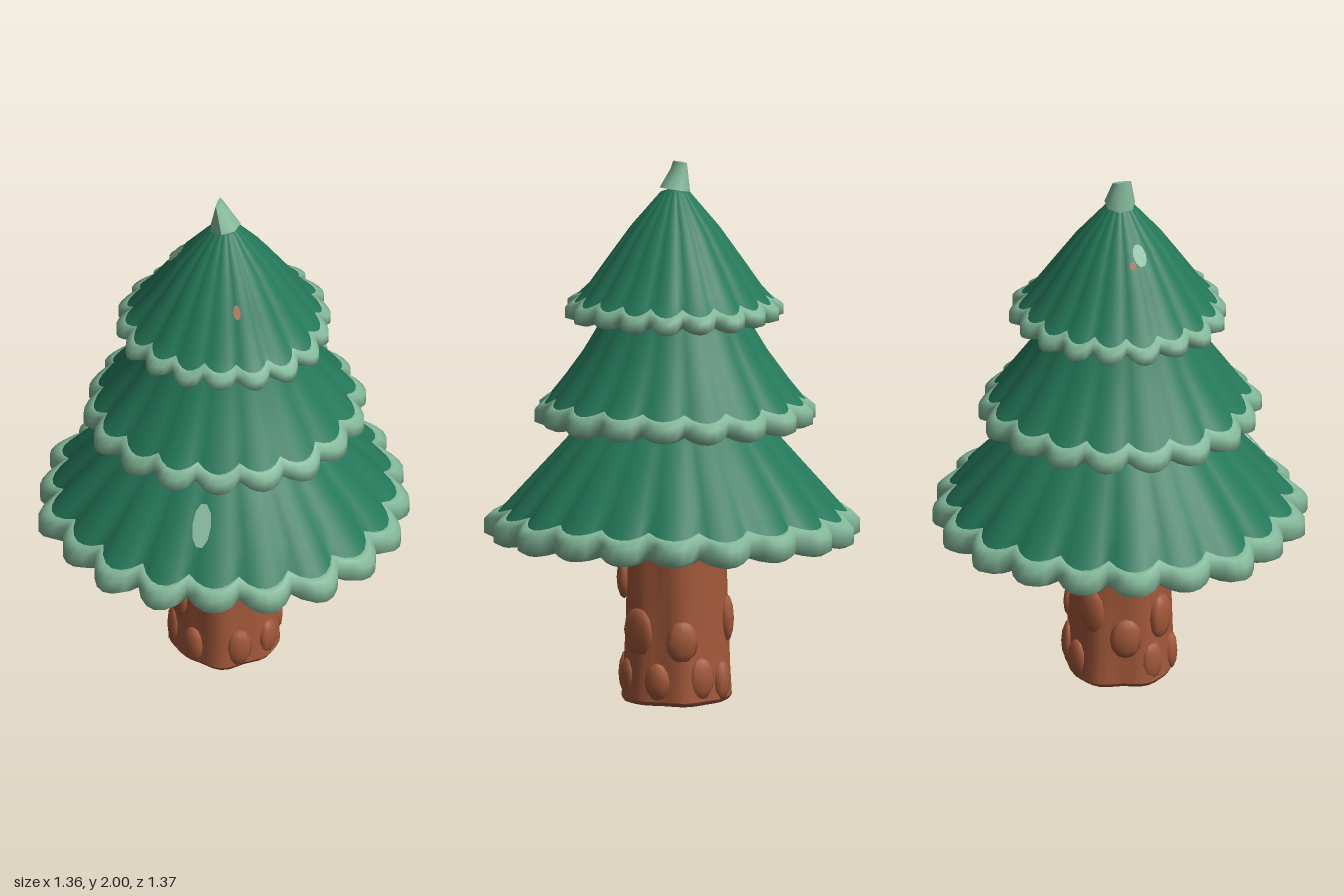
import * as THREE from 'three';

const TAU = Math.PI * 2;

// Skin between rings; each ring is a function angle -> [radius, height], listed from top to bottom
function loft(rings, segs) {
  const pos = [], index = [];
  rings.forEach((ring, j) => {
    for (let i = 0; i < segs; i++) {
      const a = (i / segs) * TAU, [r, y] = ring(a);
      pos.push(r * Math.sin(a), y, r * Math.cos(a));
      if (j === 0) continue;
      const n = (i + 1) % segs, t = (j - 1) * segs, b = j * segs;
      index.push(t + i, b + i, t + n, t + n, b + i, b + n);
    }
  });
  const g = new THREE.BufferGeometry();
  g.setAttribute('position', new THREE.Float32BufferAttribute(pos, 3));
  g.setIndex(index);
  g.computeVertexNormals();
  return g;
}

function seeded(seed) {
  return () => (seed = (seed * 16807) % 2147483647) / 2147483647;
}

export function createModel() {
  const green = new THREE.MeshStandardMaterial({ color: 0x24785a });
  green.name = 'pine green';
  const mint = new THREE.MeshStandardMaterial({ color: 0x83b79a });
  mint.name = 'pale mint';
  const brown = new THREE.MeshStandardMaterial({ color: 0xa2583a });
  brown.name = 'bark brown';

  const tree = new THREE.Group();
  tree.name = 'pineTree';
  const add = (name, geometry, material, parent = tree) => {
    const m = new THREE.Mesh(geometry, material);
    m.name = name;
    parent.add(m);
    return m;
  };

  // Foliage tier: pleated skirt, scalloped pale rim and underside
  function tier(name, t) {
    const group = new THREE.Group();
    group.name = name;
    tree.add(group);
    const rand = seeded(t.seed);
    const tips = Array.from({ length: t.tips }, () => [rand() - 0.5, rand() - 0.5]);
    // 0 in the notches, 1 at the scallop tips
    const wave = (a) => {
      const u = ((a / TAU) * t.tips) % 1;
      return Math.pow(Math.sin(u * Math.PI), 0.85);
    };
    const ring = (r, y, amp, drop) => (a) => {
      const w = wave(a), k = tips[Math.floor((a / TAU) * t.tips) % t.tips];
      const uneven = 1 + 0.012 * Math.sin(3 * a + t.seed);
      return [r * uneven + amp * (w - 1 + 0.35 * k[0] * w), y + drop * (0.5 - w + 0.5 * k[1] * w)];
    };
    const d = t.depth, R = t.radius, y0 = t.bottom, h = t.rim;
    const edge = ring(R - 0.6 * d - 0.01, y0 + h, d * 0.8, 0.025);
    const inner = ring(R - 0.035, y0, d, 0.02);
    const body = t.profile.map(([r, y], i) =>
      ring(r, y, d * 0.35 * (i / t.profile.length), 0));
    const segs = t.tips * 6;
    add('skirt', loft([...body, edge], segs), green, group);
    add('rim', loft([
      edge,
      ring(R - 0.025, y0 + h * 0.97, d, 0.025),
      ring(R, y0 + h * 0.72, d, 0.025),
      ring(R, y0 + h * 0.2, d, 0.025),
      inner,
    ], segs), mint, group);
    add('underside', loft([
      inner,
      ring(R * 0.72, y0 + 0.025, d * 0.8, 0.01),
      ring(R * 0.45, y0 + 0.04, 0.01, 0),
      ring(0.1, y0 + 0.045, 0, 0),
    ], segs), green, group);
  }

  tier('lowerTier', {
    seed: 11, tips: 20, radius: 0.69, depth: 0.065, bottom: 0.61, rim: 0.1,
    profile: [[0.3, 1.06], [0.36, 1.01], [0.45, 0.91], [0.55, 0.8]],
  });
  tier('middleTier', {
    seed: 23, tips: 18, radius: 0.52, depth: 0.045, bottom: 1.04, rim: 0.085,
    profile: [[0.24, 1.47], [0.28, 1.4], [0.34, 1.3], [0.42, 1.19]],
  });
  tier('upperTier', {
    seed: 37, tips: 18, radius: 0.4, depth: 0.04, bottom: 1.43, rim: 0.07,
    profile: [[0, 1.91], [0.055, 1.89], [0.165, 1.76], [0.25, 1.64], [0.32, 1.54]],
  });

  // Treetop: small wedge leaning to one side
  const tip = new THREE.CylinderGeometry(0.036, 0.058, 0.1, 7);
  const p = tip.attributes.position;
  for (let i = 0; i < p.count; i++) {
    if (p.getY(i) > 0) p.setX(i, p.getX(i) * 0.2 - 0.025);
    else p.setY(i, p.getY(i) + p.getX(i) * 0.2);
  }
  tip.computeVertexNormals();
  add('treetop', tip, mint).position.y = 1.95;

  // Trunk: uneven column with a closed foot
  const bark = (r, y, lump) => (a) =>
    [r + lump * (Math.sin(5 * a + 1) + 0.6 * Math.sin(8 * a + y * 4)), y];
  add('trunk', loft([
    bark(0.178, 0.68, 0.005), bark(0.18, 0.5, 0.006), bark(0.185, 0.3, 0.007),
    bark(0.192, 0.12, 0.008), bark(0.2, 0.015, 0.008),
  ], 40), brown);
  add('trunkFoot', loft([bark(0.2, 0.015, 0.008), bark(0.19, 0, 0.008), () => [0, 0]], 40), brown);

  // Bark knots and root lumps: [angle, height, half width, half height]
  const knots = [
    [-0.9, 0.26, 0.06, 0.09], [1.55, 0.27, 0.075, 0.09], [0.75, 0.45, 0.05, 0.08],
    [2.5, 0.24, 0.06, 0.08], [-2.4, 0.3, 0.055, 0.09], [-1.7, 0.2, 0.06, 0.08],
    [0.5, 0.09, 0.05, 0.08], [-0.45, 0.08, 0.045, 0.075], [1.2, 0.09, 0.05, 0.075],
    [2.0, 0.09, 0.05, 0.07], [2.9, 0.1, 0.055, 0.08], [-2.8, 0.08, 0.05, 0.075],
    [-1.15, 0.09, 0.05, 0.08],
  ];
  for (const [a, y, w, h] of knots) {
    const k = add('barkKnot', new THREE.SphereGeometry(1, 8, 6), brown);
    k.scale.set(w, h, 0.028);
    k.position.set(0.188 * Math.sin(a), y, 0.188 * Math.cos(a));
    k.rotation.y = a;
  }

  // Paint flecks lying on the foliage: [angle, radius, height, half width, half height, material]
  const flecks = [
    [0.05, 0.487, 0.87, 0.035, 0.085, mint], [-0.21, 0.395, 0.975, 0.018, 0.025, brown],
    [-1.4, 0.18, 1.76, 0.025, 0.045, mint], [-1.57, 0.2, 1.73, 0.012, 0.016, brown],
    [0.41, 0.24, 1.67, 0.014, 0.028, brown],
  ];
  for (const [a, r, y, w, h, material] of flecks) {
    const f = add('fleck', new THREE.CircleGeometry(1, 10), material);
    f.scale.set(w, h, 1);
    f.position.set(r * Math.sin(a), y + 0.008, r * Math.cos(a));
    f.rotation.set(-0.7, a, 0, 'YXZ');
  }

  return tree;
}
